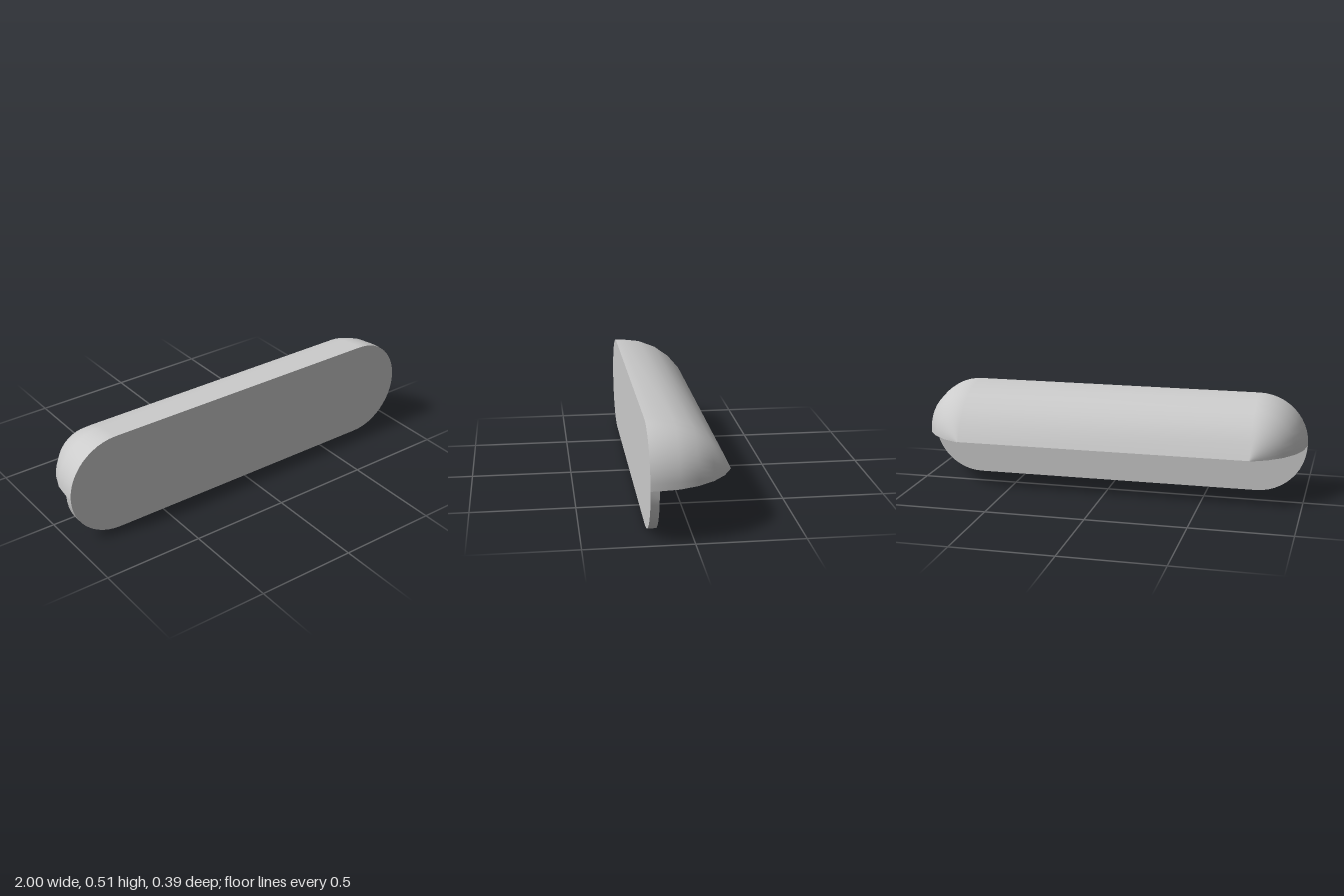
import * as THREE from 'three';

const R = 0.254, HALF = 0.746;      // end radius and half length of the straight run
const FRONT = 0.198, BACK = 0.158;  // front and back of the plate
const STEPS = 12;                   // segments per quarter turn

// Half of a stadium outline: start 0 = upper half, start PI = lower half
function halfStadium(r, start) {
  const pts = [];
  for (let q = 0; q < 2; q++) {
    const cx = (q === 0) === (start === 0) ? HALF : -HALF;
    for (let j = 0; j <= STEPS; j++) {
      const a = start + (q + j / STEPS) * Math.PI / 2;
      pts.push(new THREE.Vector2(cx + r * Math.cos(a), R + r * Math.sin(a)));
    }
  }
  return pts;
}

// Skin through half-stadium rings, listed front to back as [radius, z]
function shell(profile, start) {
  const pos = [], idx = [], n = 2 * (STEPS + 1);
  profile.forEach(([r, z], i) => {
    halfStadium(r, start).forEach((p, j) => {
      pos.push(p.x, p.y, z);
      if (i + 1 < profile.length && j + 1 < n) {
        const a = i * n + j, b = a + 1, c = a + n, d = c + 1;
        idx.push(a, c, b, b, c, d);
      }
    });
  });
  const g = new THREE.BufferGeometry();
  g.setAttribute('position', new THREE.Float32BufferAttribute(pos, 3));
  g.setIndex(idx);
  g.computeVertexNormals();
  return g;
}

export function createModel() {
  const group = new THREE.Group();
  const material = new THREE.MeshStandardMaterial({ color: 0xcccccc });
  const add = (name, geometry) => {
    const mesh = new THREE.Mesh(geometry, material);
    mesh.name = name;
    group.add(mesh);
  };
  const flat = (pts) => new THREE.ShapeGeometry(new THREE.Shape(pts));

  // Hood profile: plate edge, then an arc that curves in to the back edge
  const profile = [[R, FRONT]];
  const arcR = 0.376, arcEnd = 1.2345;
  for (let i = 0; i <= 5; i++) {
    const a = arcEnd * i / 5;
    profile.push([Math.max(0.002, R - arcR * (1 - Math.cos(a))), BACK - arcR * Math.sin(a)]);
  }
  add('hood', shell(profile, 0));

  // Flat underside of the hood, bounded by the hood's lowest edge
  const side = profile.slice(1).map(([r, z]) => new THREE.Vector2(HALF + r, z));
  const mirrored = side.map((p) => new THREE.Vector2(-p.x, p.y)).reverse();
  add('hoodUnderside', flat([...side, ...mirrored]).rotateX(Math.PI / 2).translate(0, R, 0));

  // Plate: front face, lower rim and exposed lower back
  add('plateFront', flat([...halfStadium(R, 0), ...halfStadium(R, Math.PI)]).translate(0, 0, FRONT));
  add('plateRim', shell([[R, FRONT], [R, BACK]], Math.PI));
  add('plateBack', flat(halfStadium(R, Math.PI)).rotateY(Math.PI).translate(0, 0, BACK));

  return group;
}
